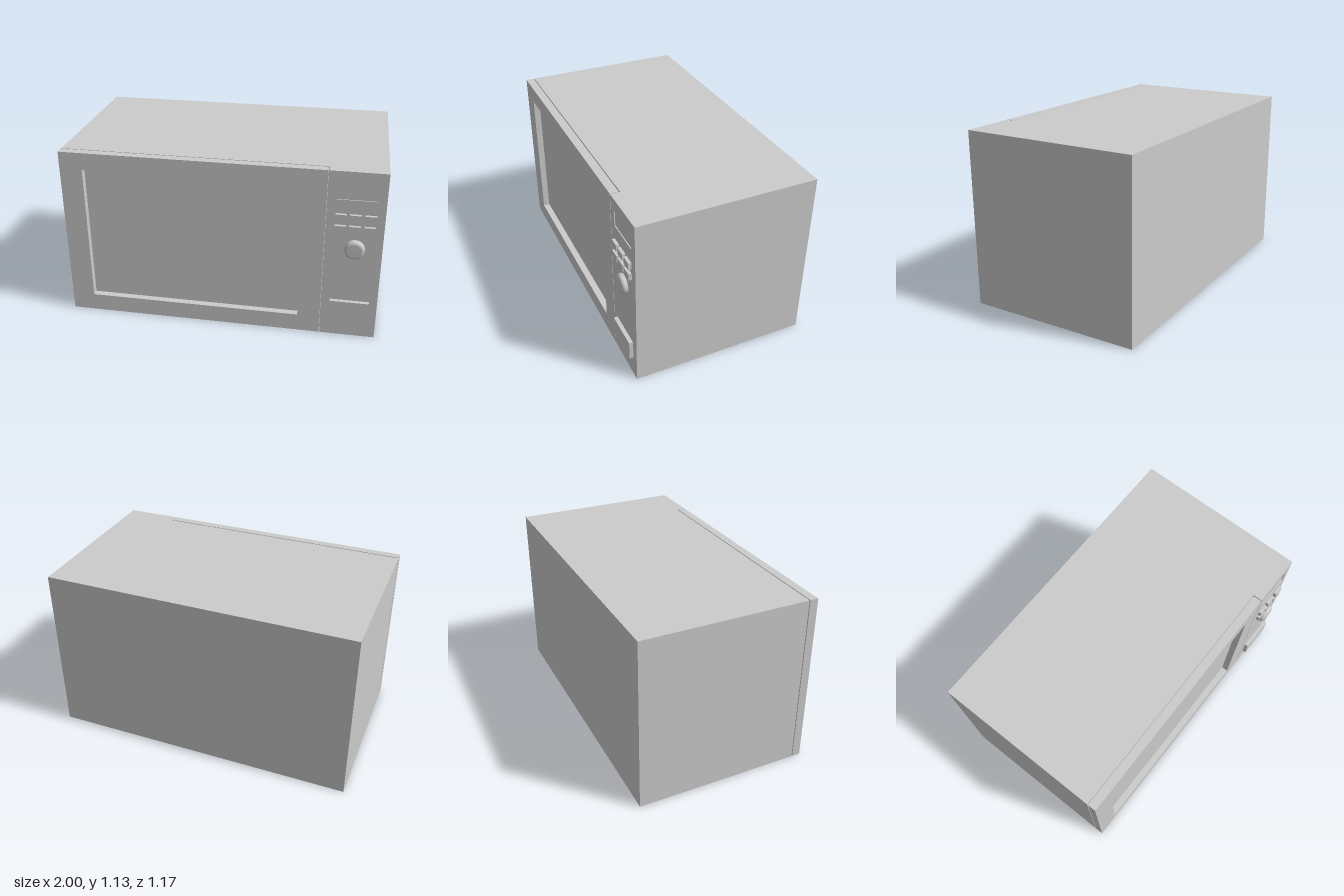
import * as THREE from 'three';

const material = new THREE.MeshStandardMaterial({ color: 0xcccccc });
const H = 1.13, BACK = -0.585, FRONT = 0.55, BODY_FRONT = 0.49;

function add(parent, name, geometry) {
  const mesh = new THREE.Mesh(geometry, material);
  mesh.name = name;
  parent.add(mesh);
  return mesh;
}

// Box given by its min and max on each axis
function block(x0, x1, y0, y1, z0, z1) {
  return new THREE.BoxGeometry(x1 - x0, y1 - y0, z1 - z0)
    .translate((x0 + x1) / 2, (y0 + y1) / 2, (z0 + z1) / 2);
}

// Rectangular plate with a rectangular opening, extruded from z0 to z1
function frame([x0, x1, y0, y1], [hx0, hx1, hy0, hy1], z0, z1) {
  const shape = new THREE.Shape()
    .moveTo(x0, y0).lineTo(x1, y0).lineTo(x1, y1).lineTo(x0, y1).closePath();
  shape.holes.push(new THREE.Path()
    .moveTo(hx0, hy0).lineTo(hx0, hy1).lineTo(hx1, hy1).lineTo(hx1, hy0).closePath());
  return new THREE.ExtrudeGeometry(shape, { depth: z1 - z0, bevelEnabled: false })
    .translate(0, 0, z0);
}

export function createModel() {
  const group = new THREE.Group();
  group.name = 'microwaveOven';

  // Casing: L-shaped plan, with the control column reaching forward beside the door
  const plan = new THREE.Shape();
  const panelBase = FRONT - 0.006;
  [[-1, BACK], [1, BACK], [1, panelBase], [0.655, panelBase], [0.655, BODY_FRONT], [-1, BODY_FRONT]]
    .forEach(([x, z], i) => (i ? plan.lineTo(x, -z) : plan.moveTo(x, -z)));
  add(group, 'casing', new THREE.ExtrudeGeometry(plan, { depth: H, bevelEnabled: false })
    .rotateX(-Math.PI / 2));

  // Door with a sunken window, separated from the casing by a narrow gap
  const door = new THREE.Group();
  door.name = 'door';
  group.add(door);
  const opening = [-0.855, 0.508, 0.115, 1.02];
  add(door, 'doorFrame', frame([-1, 0.65, 0, H], opening, BODY_FRONT + 0.006, FRONT));
  add(door, 'doorWindow', block(...opening, BODY_FRONT + 0.006, 0.507));

  // Control panel face with a shallow display recess
  const panel = new THREE.Group();
  panel.name = 'controlPanel';
  group.add(panel);
  add(panel, 'panelFace', frame([0.655, 1, 0, H], [0.706, 0.949, 0.95, 1.05], panelBase, FRONT));

  // Two rows of three buttons
  const columns = [[0.706, 0.773], [0.791, 0.861], [0.882, 0.949]];
  for (const y of [0.74, 0.815])
    for (const [x0, x1] of columns)
      add(panel, 'button', block(x0, x1, y, y + 0.045, FRONT - 0.003, 0.57));

  // Door release button
  add(panel, 'doorReleaseButton', block(0.706, 0.949, 0.135, 0.26, FRONT - 0.003, 0.575));

  // Round dial with a softened front edge
  const profile = [[0.062, -0.003], [0.062, 0.015]];
  for (let i = 1; i <= 5; i++) {
    const a = (i / 5) * Math.PI / 2;
    profile.push([0.042 + 0.02 * Math.cos(a), 0.015 + 0.02 * Math.sin(a)]);
  }
  profile.push([0, 0.035]);
  const dial = add(panel, 'dial',
    new THREE.LatheGeometry(profile.map(p => new THREE.Vector2(...p)), 32).rotateX(Math.PI / 2));
  dial.position.set(0.834, 0.628, FRONT);

  return group;
}
